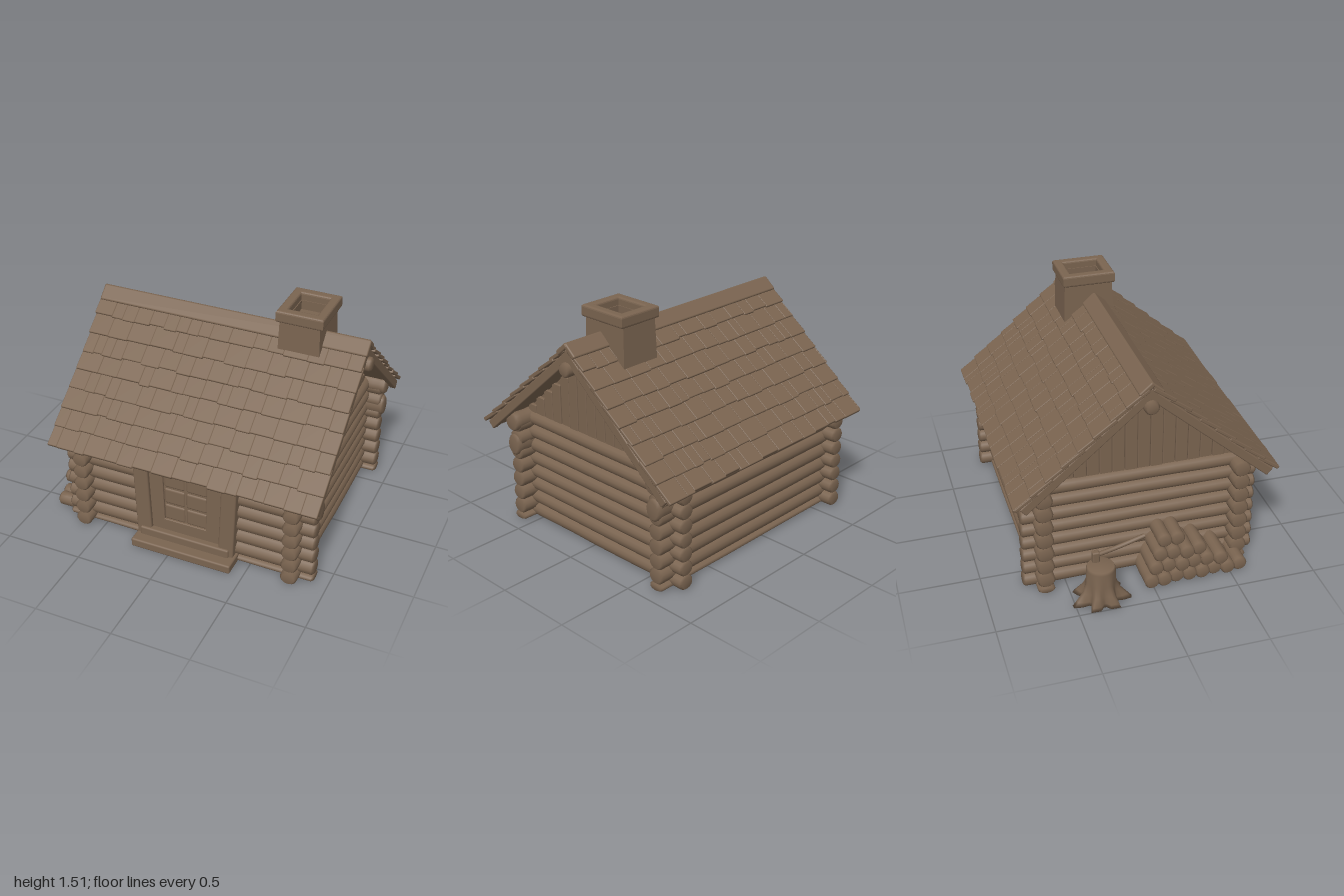
import * as THREE from 'three';
import { mergeGeometries } from 'three/addons/utils/BufferGeometryUtils.js';
import { RoundedBoxGeometry } from 'three/addons/geometries/RoundedBoxGeometry.js';

export function createModel() {
  const model = new THREE.Group();
  model.name = 'logCabin';
  const wood = new THREE.MeshStandardMaterial({ color: 0x7a6450 });
  wood.name = 'weathered brown';

  let seed = 7;
  const rand = (a, b) => {
    seed = (seed * 16807) % 2147483647;
    return a + (b - a) * (seed / 2147483647);
  };
  const add = (name, geo, parent = model) => {
    const m = new THREE.Mesh(geo, wood);
    m.name = name;
    parent.add(m);
    return m;
  };
  // Box given by its min and max corners
  const block = (x0, x1, y0, y1, z0, z1, r = 0) => {
    const w = x1 - x0, h = y1 - y0, d = z1 - z0;
    const g = r ? new RoundedBoxGeometry(w, h, d, 2, r) : new THREE.BoxGeometry(w, h, d);
    return g.translate((x0 + x1) / 2, (y0 + y1) / 2, (z0 + z1) / 2);
  };
  // Slightly uneven log with softened ends, along x or z
  const log = (axis, from, to, a, y, r, squash = 1) => {
    const len = to - from, b = Math.min(0.012, r * 0.3);
    const pts = [[0, 0], [r - b, 0], [r, b]];
    for (let i = 1; i < 6; i++) pts.push([r * rand(0.95, 1.03), b + (len - 2 * b) * i / 6]);
    pts.push([r, len - b], [r - b, len], [0, len]);
    const g = new THREE.LatheGeometry(pts.map(p => new THREE.Vector2(...p)), 14);
    g.translate(0, -len / 2, 0);
    if (axis === 'x') g.rotateZ(-Math.PI / 2); else g.rotateX(Math.PI / 2);
    g.scale(1, squash, 1);
    const mid = (from + to) / 2;
    return axis === 'x' ? g.translate(mid, y, a) : g.translate(a, y, mid);
  };

  // Solid core of the house
  add('wallCore', block(-0.63, 0.78, 0, 0.74, -0.64, 0.59));

  // Front and back log walls, their ends crossing the side walls
  for (const [name, z] of [['frontWallLogs', 0.59], ['backWallLogs', -0.635]]) {
    const logs = [log('x', -0.755, 0.91, z, 0.025, 0.053, 0.47)];
    for (let k = 1; k < 8; k++) logs.push(log('x', -0.755, 0.91, z, 0.095 * k, 0.055, 0.95));
    // Larger upper log ends
    logs.push(log('x', 0.7, 0.935, z, 0.685, 0.058));
    logs.push(log('x', 0.7, 0.93, z, 0.53, 0.054, 1.3));
    add(name, mergeGeometries(logs));
  }

  // Side log walls, half a log higher than the front and back ones
  for (const [name, x] of [['rightWallLogs', -0.625], ['leftWallLogs', 0.775]]) {
    const logs = [];
    for (let k = 0; k < 8; k++) {
      const top = k === 7;
      logs.push(log('z', top ? -0.64 : -0.76, top ? 0.6 : 0.71, x, 0.047 + 0.0915 * k, 0.053, 0.9));
    }
    add(name, mergeGeometries(logs));
  }

  // Gables: triangular core with upright planks on both ends
  const gable = new THREE.Shape([[-0.64, 0.7], [0.64, 0.7], [0, 1.27]].map(p => new THREE.Vector2(...p)));
  add('gableCore', new THREE.ExtrudeGeometry(gable, { depth: 1.41, bevelEnabled: false })
    .rotateY(Math.PI / 2).translate(-0.63, 0, 0));
  for (const [name, x] of [['rightGablePlanks', -0.635], ['leftGablePlanks', 0.785]]) {
    const planks = [];
    for (let i = -7; i <= 7; i++) {
      const z = i * 0.078, top = 1.25 - 0.86 * Math.abs(z);
      const t = rand(0.008, 0.014);
      planks.push(block(x - t, x + t, 0.72, top, z - 0.0375, z + 0.0375, 0.005));
    }
    add(name, mergeGeometries(planks));
  }
  add('ridgeBeam', log('x', -0.79, 0.995, 0, 1.21, 0.045));

  // Roof slopes: deck, bargeboards and overlapping shingle courses
  const pitch = 0.714;
  for (const side of [1, -1]) {
    const half = new THREE.Group();
    half.name = side > 0 ? 'frontRoof' : 'backRoof';
    const slope = g => {
      g.rotateX(pitch).translate(0, 1.365, 0);
      if (side < 0) g.rotateY(Math.PI).translate(0.2, 0, 0);
      return g;
    };
    add('roofDeck', slope(block(-0.745, 0.945, -0.075, -0.025, 0, 1.065)), half);
    for (const x of [-0.745, 0.945])
      add('bargeboard', slope(block(x - 0.02, x + 0.02, -0.088, -0.03, 0, 1.06, 0.008)), half);
    const shingles = [];
    for (let row = 0; row < 8; row++) {
      const end = 0.2 + row * 0.126;
      let x = -0.77 + rand(-0.006, 0.006);
      while (x < 0.97) {
        let w = rand(0.06, 0.16);
        if (x + w > 0.92) w = 0.972 + rand(-0.006, 0.006) - x;
        const t = rand(0.02, 0.025), len = 0.165 + rand(-0.007, 0.007);
        const g = new RoundedBoxGeometry(w + 0.003, t, len, 1, 0.006);
        g.translate(0, 0, len / 2).rotateX(-0.09);
        g.translate(x + w / 2, -0.021, end - 0.165);
        shingles.push(slope(g));
        x += w;
      }
    }
    add('shingles', mergeGeometries(shingles), half);
    // Ridge cap
    add('ridgeCap', slope(block(-0.775, 0.978, -0.025, 0.008, -0.005, 0.1, 0.01)), half);
    model.add(half);
  }

  // Chimney: hollow shaft, rounded cap and sooty floor
  const ring = (w, d, iw, id, y0, y1, bevel) => {
    const rect = (P, a, b) => new P([[-a, -b], [a, -b], [a, b], [-a, b]].map(p => new THREE.Vector2(...p)));
    const s = rect(THREE.Shape, w / 2 - bevel, d / 2 - bevel);
    s.holes.push(rect(THREE.Path, iw / 2 + bevel, id / 2 + bevel));
    return new THREE.ExtrudeGeometry(s, {
      depth: y1 - y0 - 2 * bevel, bevelEnabled: bevel > 0, bevelSize: bevel, bevelThickness: bevel, bevelSegments: 3,
    }).rotateX(-Math.PI / 2).translate(0.575, y0 + bevel, -0.035);
  };
  const shaft = ring(0.25, 0.31, 0.17, 0.21, 1.0, 1.46, 0);
  const sp = shaft.attributes.position;
  for (let i = 0; i < sp.count; i++) {
    const k = 1 + (1.46 - sp.getY(i)) * 0.22;
    sp.setX(i, 0.575 + (sp.getX(i) - 0.575) * k);
    sp.setZ(i, -0.035 + (sp.getZ(i) + 0.035) * k);
  }
  shaft.computeVertexNormals();
  add('chimneyShaft', shaft);
  add('chimneyCap', ring(0.295, 0.34, 0.18, 0.22, 1.435, 1.51, 0.014));
  add('chimneyFloor', block(0.47, 0.68, 1.38, 1.4, -0.16, 0.09));

  // Doorway: flaring jambs, lintel, sill, step and panelled door
  for (const s of [-1, 1]) {
    const jamb = block(-0.05, 0.05, 0.04, 0.66, 0.56, 0.685, 0.012);
    const p = jamb.attributes.position;
    for (let i = 0; i < p.count; i++) p.setX(i, p.getX(i) + 0.08 + s * (0.272 + 0.04 * p.getY(i)));
    add('doorJamb', jamb);
  }
  add('doorLintel', block(-0.27, 0.43, 0.6, 0.68, 0.56, 0.675, 0.012));
  add('doorSill', block(-0.22, 0.38, 0.04, 0.115, 0.58, 0.7, 0.012));
  add('doorStep', block(-0.25, 0.42, 0, 0.06, 0.58, 0.77, 0.012));
  const door = new THREE.Shape([[-0.15, 0.1], [0.31, 0.1], [0.335, 0.63], [-0.18, 0.63]].map(p => new THREE.Vector2(...p)));
  door.holes.push(new THREE.Path([[-0.07, 0.19], [0.22, 0.19], [0.23, 0.56], [-0.08, 0.56]].map(p => new THREE.Vector2(...p))));
  add('doorFrame', new THREE.ExtrudeGeometry(door, { depth: 0.03, bevelEnabled: true, bevelSize: 0.006, bevelThickness: 0.006 })
    .translate(0, 0, 0.624));
  add('doorBacking', block(-0.16, 0.32, 0.1, 0.63, 0.57, 0.645));
  for (let r = 0; r < 3; r++)
    for (let c = 0; c < 2; c++)
      add('doorPanel', block(-0.068 + c * 0.148, 0.072 + c * 0.148, 0.195 + r * 0.122, 0.308 + r * 0.122, 0.61, 0.653, 0.015));

  // Firewood stacked against the right wall, stepping down to the front
  const stack = [];
  [8, 6, 4, 2].forEach((n, row) => {
    for (let i = 0; i < n; i++) {
      const out = row === 3 ? -0.85 : rand(-0.895, -0.865);
      stack.push(log('x', out, -0.6, -0.012 + 0.082 * i + 0.03 * row, 0.045 + row * 0.087, 0.045));
    }
  });
  add('firewood', mergeGeometries(stack));

  // Chopping stump with flaring roots
  const profile = [[0, 0], [0.125, 0], [0.118, 0.03], [0.1, 0.08], [0.09, 0.14], [0.088, 0.23], [0.08, 0.245], [0, 0.245]];
  const stump = new THREE.LatheGeometry(profile.map(p => new THREE.Vector2(...p)), 42);
  const q = stump.attributes.position;
  for (let i = 0; i < q.count; i++) {
    const x = q.getX(i), y = q.getY(i), z = q.getZ(i);
    const flare = Math.max(0, 1 - y / 0.16) ** 1.5;
    const k = 1 + (0.06 + 0.36 * Math.cos(7 * Math.atan2(z, x))) * flare;
    q.setXYZ(i, Math.max(x * k, -0.12), y, z * k * (1 + 0.08 * flare));
  }
  stump.computeVertexNormals();
  add('choppingStump', stump.translate(-0.88, 0, -0.335));

  // Axe resting in the stump
  const handle = new THREE.CatmullRomCurve3([
    new THREE.Vector3(-0.83, 0.285, -0.36), new THREE.Vector3(-0.81, 0.3, -0.22), new THREE.Vector3(-0.8, 0.345, -0.04),
  ]);
  add('axeHandle', new THREE.TubeGeometry(handle, 10, 0.014, 8));
  add('axeHead', block(-0.85, -0.81, 0.23, 0.315, -0.375, -0.33, 0.01));

  return model;
}
